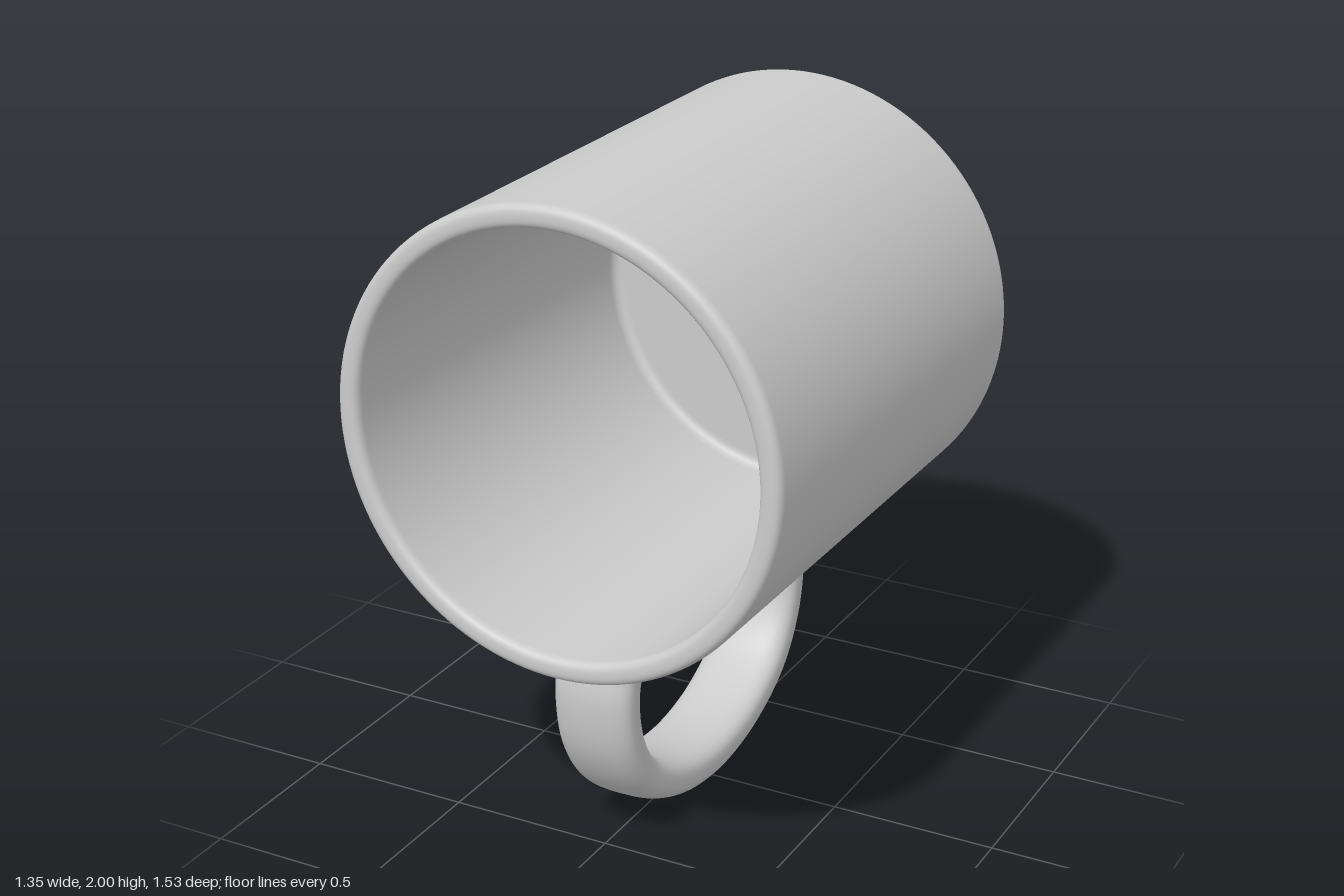
import * as THREE from 'three';

const material = new THREE.MeshStandardMaterial({ color: 0xcccccc });
const AXIS_Y = 1.325;

// Turns [radius, height, cornerRadius] corners into a rounded lathe profile
function roundedProfile(corners) {
  const pts = corners.map(([r, y]) => new THREE.Vector2(r, y));
  const out = [pts[0]];
  for (let i = 1; i < pts.length - 1; i++) {
    const p = pts[i], c = corners[i][2];
    const a = pts[i - 1].clone().sub(p).setLength(c).add(p);
    const b = pts[i + 1].clone().sub(p).setLength(c).add(p);
    out.push(...new THREE.QuadraticBezierCurve(a, p, b).getPoints(8));
  }
  out.push(pts[pts.length - 1]);
  return out;
}

// Cup: recessed base, outer wall, rounded rim, inner wall and floor
function createCup() {
  const profile = roundedProfile([
    [0, -0.735],
    [0.585, -0.735, 0.012],
    [0.6, -0.765, 0.012],
    [0.675, -0.765, 0.03],
    [0.675, 0.765, 0.03],
    [0.608, 0.765, 0.03],
    [0.608, -0.67, 0.035],
    [0, -0.67],
  ]);
  const geometry = new THREE.LatheGeometry(profile, 128);
  geometry.rotateX(Math.PI / 2);
  const cup = new THREE.Mesh(geometry, material);
  cup.name = 'cup';
  cup.position.y = AXIS_Y;
  return cup;
}

// Handle: superellipse sections swept along a loop, flaring where it joins the cup
function createHandle() {
  // z, y and half thickness of one half of the loop
  const half = [
    [0.48, 0.69, 0.125], [0.486, 0.645, 0.104], [0.512, 0.595, 0.074], [0.532, 0.5, 0.066],
    [0.505, 0.345, 0.066], [0.41, 0.205, 0.066], [0.225, 0.104, 0.067],
  ];
  const stations = [
    ...half, [0, 0.067, 0.067],
    ...half.map(([z, y, t]) => [-z, y, t]).reverse(),
  ].map((s) => new THREE.Vector3(...s));
  const curve = new THREE.CatmullRomCurve3(stations, false, 'centripetal');
  const rings = 120, sides = 40, power = 2 / 2.8;
  const positions = [], index = [];
  const bulge = (v) => Math.sign(v) * Math.abs(v) ** power;

  for (let i = 0; i <= rings; i++) {
    const p = curve.getPoint(i / rings);
    const t = curve.getTangent(i / rings);
    const len = Math.hypot(t.x, t.y);
    const nz = -t.y / len, ny = t.x / len;
    const halfWidth = 0.125 + Math.max(0, p.z - 0.067) * 0.6;
    for (let j = 0; j < sides; j++) {
      const a = (j / sides) * Math.PI * 2;
      const n = bulge(Math.sin(a)) * p.z;
      positions.push(bulge(Math.cos(a)) * halfWidth, p.y + ny * n, p.x + nz * n);
      if (i < rings) {
        const k = i * sides + j, m = i * sides + ((j + 1) % sides);
        index.push(k, m, k + sides, m, m + sides, k + sides);
      }
    }
  }
  const geometry = new THREE.BufferGeometry();
  geometry.setAttribute('position', new THREE.Float32BufferAttribute(positions, 3));
  geometry.setIndex(index);
  geometry.computeVertexNormals();
  const handle = new THREE.Mesh(geometry, material);
  handle.name = 'handle';
  return handle;
}

export function createModel() {
  const mug = new THREE.Group();
  mug.name = 'mug';
  mug.add(createCup(), createHandle());
  return mug;
}
